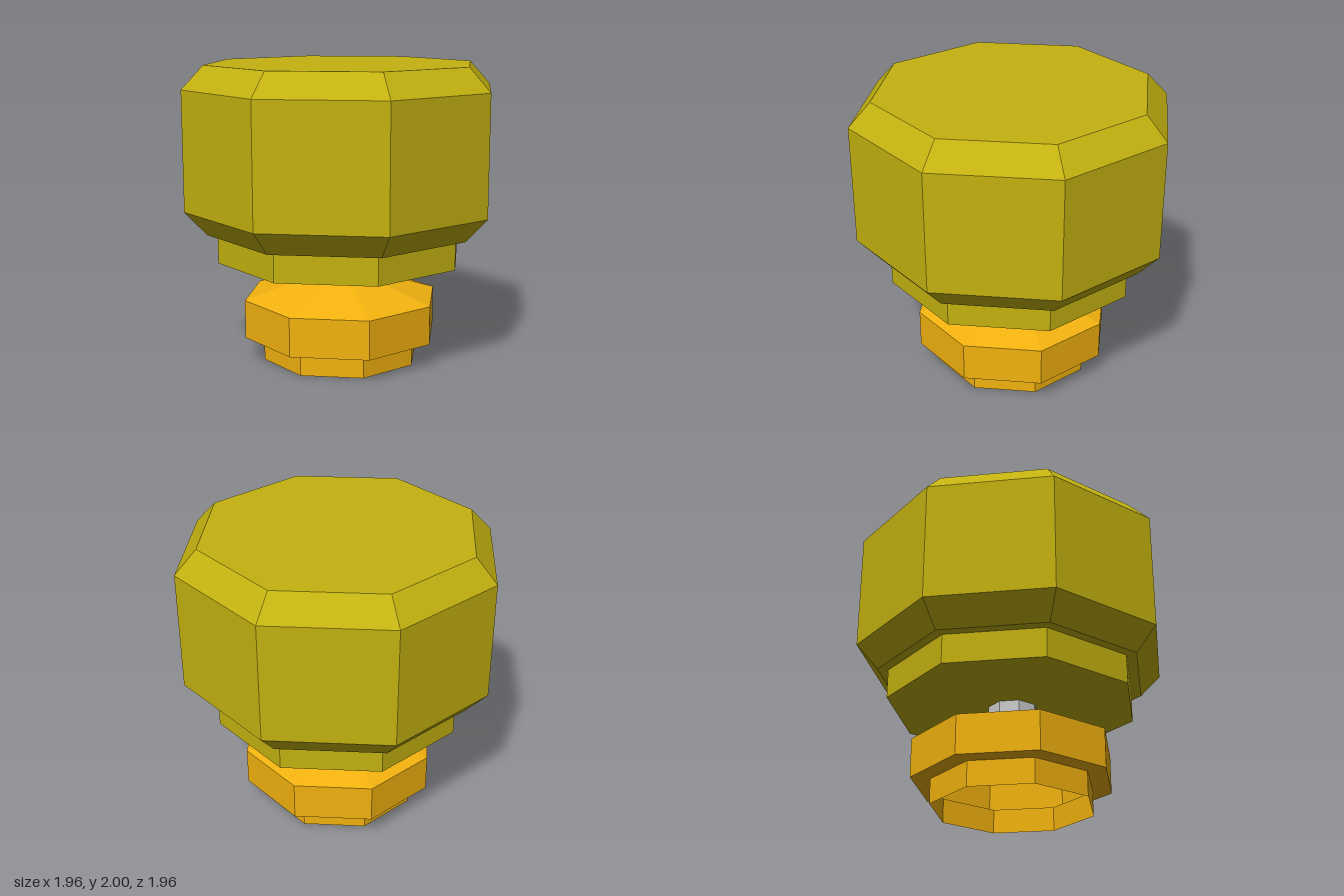
import * as THREE from 'three';

const SIDES = 8;
const CORNER = 1 / Math.cos(Math.PI / SIDES); // flat-to-centre distance -> corner radius

// Octagonal turned part; profile is [distance to flat side, height], from bottom to top
function turned(name, color, profile, side = THREE.FrontSide) {
  const points = profile.map(([r, y]) => new THREE.Vector2(r * CORNER, y));
  const geometry = new THREE.LatheGeometry(points, SIDES, Math.PI / SIDES);
  const material = new THREE.MeshStandardMaterial({ color, flatShading: true, side });
  const mesh = new THREE.Mesh(geometry, material);
  mesh.name = name;
  return mesh;
}

export function createModel() {
  const group = new THREE.Group();
  group.name = 'octagonalKnob';
  const olive = 0xc4b210, amber = 0xf2b20f;

  // Hollow base shell, open underneath
  group.add(turned('base', amber, [
    [0.5, 0], [0.5, 0.165], [0.62, 0.165], [0.62, 0.425], [0.155, 0.585],
  ], THREE.DoubleSide));

  // Short neck joining base and head
  group.add(turned('neck', 0xcccccc, [
    [0, 0.58], [0.155, 0.58], [0.155, 0.7], [0, 0.7],
  ]));

  // Collar under the head
  group.add(turned('collar', olive, [
    [0, 0.695], [0.78, 0.695], [0.78, 0.89],
  ]));

  // Large head with bevelled top and bottom edges
  group.add(turned('head', olive, [
    [0, 0.89], [0.845, 0.89], [0.98, 1.05], [0.98, 1.845], [0.845, 2], [0, 2],
  ]));

  return group;
}
